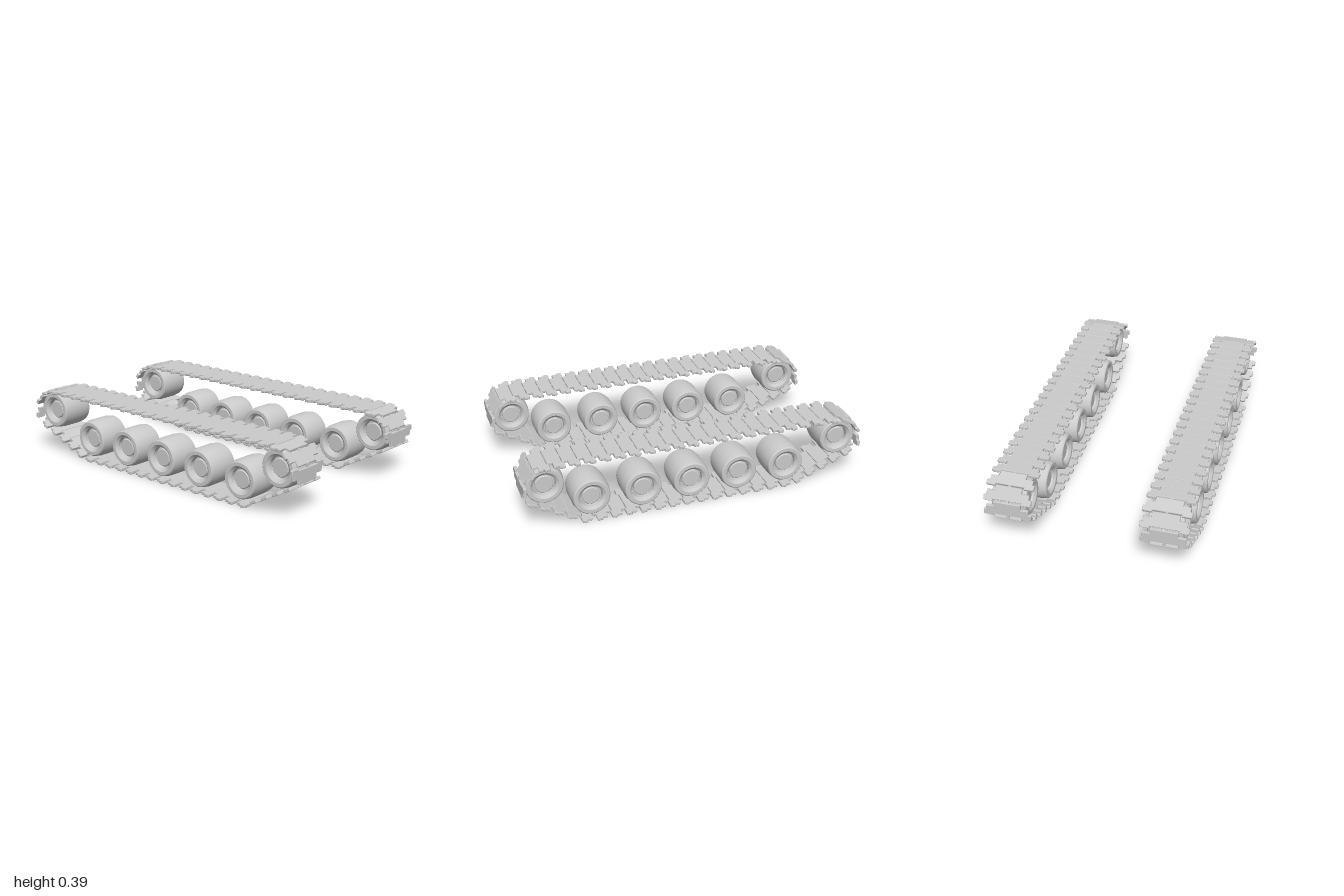
import * as THREE from 'three';
import { toCreasedNormals } from 'three/addons/utils/BufferGeometryUtils.js';

const material = new THREE.MeshStandardMaterial({ color: 0xcccccc });
const TRACK_X = 0.435;
const PITCH = 0.085;

// Straight runs of the belt as [z, y] start, [z, y] end and number of links,
// in travel order: rearwards start of the top, over the front, back underneath.
const runs = [
  [[-0.845, 0.376], [0.85, 0.376], 20],
  [[0.85, 0.374], [0.928, 0.36], 1],
  [[0.932, 0.355], [0.984, 0.286], 1],
  [[0.991, 0.277], [0.991, 0.195], 1],
  [[0.982, 0.178], [0.685, 0.021], 4],
  [[0.68, 0.01], [-0.6, 0.01], 15],
  [[-0.602, 0.018], [-0.98, 0.178], 5],
  [[-0.99, 0.195], [-0.99, 0.281], 1],
  [[-0.986, 0.29], [-0.947, 0.354], 1],
  [[-0.937, 0.352], [-0.858, 0.384], 1],
];

// Wheels as [name, z, y]
const wheels = [
  ['frontIdler', 0.875, 0.257],
  ...[0.615, 0.316, 0.03, -0.257, -0.545].map((z, i) => [`roadWheel${i + 1}`, z, 0.134]),
  ['rearSprocket', -0.866, 0.257],
];

// Interlocking plate: a tab leads in the middle, flared fingers trail at the sides
function linkGeometry() {
  const half = [
    [0.076, 0.047], [0.076, 0.017], [0.12, 0.017], [0.12, -0.009],
    [0.135, -0.014], [0.135, -0.04], [0.129, -0.045],
    [0.081, -0.045], [0.081, -0.034],
  ];
  const outline = [...half, ...half.map(([x, y]) => [-x, y]).reverse()];
  const shape = new THREE.Shape(outline.map(([x, y]) => new THREE.Vector2(x, y)));
  const geometry = new THREE.ExtrudeGeometry(shape, {
    depth: 0.012, bevelEnabled: true, bevelThickness: 0.003, bevelSize: 0.002,
    bevelOffset: -0.002, bevelSegments: 1,
  });
  return geometry.translate(0, 0, -0.006);
}

// Wheel turned about x, with a tapered tyre, a dished face and a hub on both sides
function wheelGeometry() {
  const side = [
    [0, 0.078], [0.048, 0.078], [0.052, 0.074], [0.052, 0.06], [0.062, 0.06],
    [0.064, 0.085], [0.08, 0.098], [0.1, 0.098], [0.106, 0.092], [0.112, 0.055],
  ];
  const profile = [...side.map(([r, x]) => [r, -x]), ...side.slice().reverse()];
  const lathe = new THREE.LatheGeometry(profile.map(([r, x]) => new THREE.Vector2(r, x)), 40);
  return toCreasedNormals(lathe, 0.4).rotateZ(Math.PI / 2);
}

// One complete track unit centred on x = 0
function createTrack(name, linkGeo, wheelGeo, knuckleGeo) {
  const track = new THREE.Group();
  track.name = name;

  const belt = new THREE.Group();
  belt.name = 'belt';
  track.add(belt);
  const across = new THREE.Vector3(1, 0, 0);
  for (const [[z0, y0], [z1, y1], count] of runs) {
    const start = new THREE.Vector3(0, y0, z0);
    const end = new THREE.Vector3(0, y1, z1);
    const along = end.clone().sub(start).normalize();
    const basis = new THREE.Matrix4().makeBasis(across, along, across.clone().cross(along));
    for (let i = 0; i < count; i++) {
      const link = new THREE.Group();
      link.name = 'trackLink';
      const plate = new THREE.Mesh(linkGeo, material);
      plate.name = 'linkPlate';
      const knuckle = new THREE.Mesh(knuckleGeo, material);
      knuckle.name = 'linkKnuckle';
      knuckle.position.y = -PITCH / 2;
      link.add(plate, knuckle);
      link.position.lerpVectors(start, end, (i + 0.5) / count);
      link.quaternion.setFromRotationMatrix(basis);
      belt.add(link);
    }
  }

  for (const [wheelName, z, y] of wheels) {
    const wheel = new THREE.Mesh(wheelGeo, material);
    wheel.name = wheelName;
    wheel.position.set(0, y, z);
    track.add(wheel);
  }
  return track;
}

export function createModel() {
  const model = new THREE.Group();
  model.name = 'trackPair';
  const linkGeo = linkGeometry();
  const wheelGeo = wheelGeometry();
  const knuckleGeo = new THREE.BoxGeometry(0.016, 0.024, 0.01);
  for (const [name, side] of [['leftTrack', 1], ['rightTrack', -1]]) {
    const track = createTrack(name, linkGeo, wheelGeo, knuckleGeo);
    track.position.x = side * TRACK_X;
    model.add(track);
  }
  return model;
}
